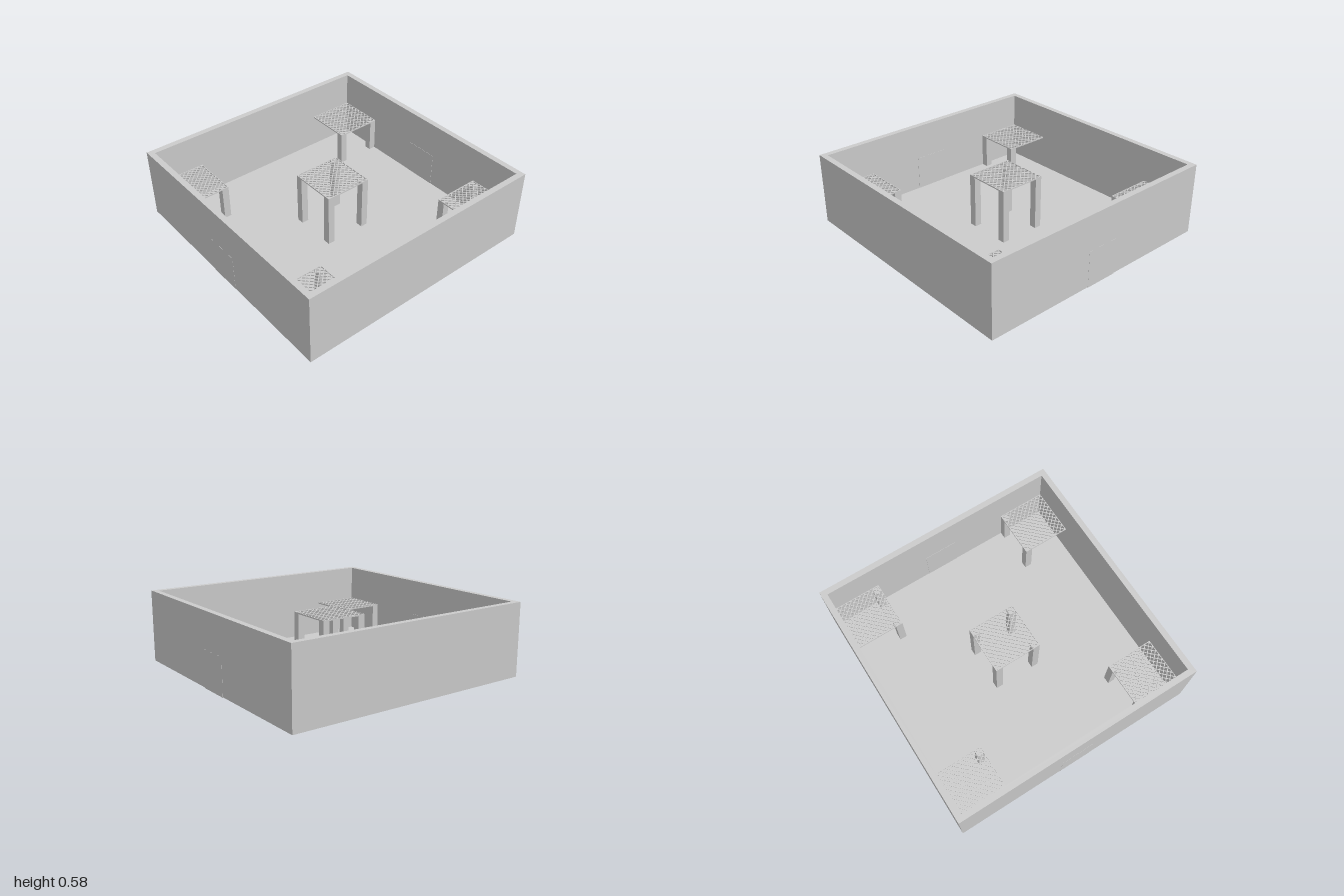
import * as THREE from 'three';
import { mergeGeometries } from 'three/addons/utils/BufferGeometryUtils.js';

const OUTER = 0.999, INNER = 0.953, BASE = 0.01, TOP = 0.58;
const SIDE = 0.382, LEG = 0.056, GRATE = 0.01;

const material = new THREE.MeshStandardMaterial({ color: 0xcccccc, flatShading: true });

function addMesh(parent, name, geometry) {
  const mesh = new THREE.Mesh(geometry, material);
  mesh.name = name;
  parent.add(mesh);
  return mesh;
}

// Box given by its size, its centre in x and z, and its lower y
function box(w, h, d, x, y, z) {
  return new THREE.BoxGeometry(w, h, d).translate(x, y + h / 2, z);
}

function square(PathType, r) {
  return new PathType([[-r, -r], [r, -r], [r, r], [-r, r]].map(([x, y]) => new THREE.Vector2(x, y)));
}

// Square grating: a thin rim filled with crossing diagonal strands
function gratingGeometry() {
  const rim = 0.005, strand = 0.006, step = 0.04, parts = [];
  const edge = (SIDE - rim) / 2;
  for (const s of [-1, 1]) {
    parts.push(box(SIDE, GRATE, rim, 0, 0, s * edge));
    parts.push(box(rim, GRATE, SIDE - 2 * rim, s * edge, 0, 0));
    for (let i = -9; i <= 9; i++) {
      const c = i * step;
      const length = (SIDE - Math.abs(c)) * Math.SQRT2 - strand;
      const bar = box(length, GRATE * 0.8, strand, 0, GRATE * 0.1, 0);
      bar.rotateY(s * Math.PI / 4).translate(c / 2, 0, s * c / 2);
      parts.push(bar);
    }
  }
  return mergeGeometries(parts);
}

// Platform with its grating surface at the given height, on legs at the listed corners
function platform(name, grating, x, z, height, foot, corners) {
  const group = new THREE.Group();
  group.name = name;
  group.position.set(x, 0, z);
  addMesh(group, 'grating', grating).position.y = height - GRATE;
  const r = (SIDE - LEG) / 2;
  for (const [sx, sz] of corners) {
    addMesh(group, 'leg', box(LEG, height - GRATE - foot, LEG, sx * r, foot, sz * r));
  }
  return group;
}

export function createModel() {
  const model = new THREE.Group();
  model.name = 'arena';

  // Four walls as one square ring
  const ring = square(THREE.Shape, OUTER);
  ring.holes.push(square(THREE.Path, INNER));
  const walls = new THREE.ExtrudeGeometry(ring, { depth: TOP - BASE, bevelEnabled: false });
  walls.rotateX(-Math.PI / 2).translate(0, BASE, 0);
  addMesh(model, 'walls', walls);

  // Thin floor
  addMesh(model, 'floor', box(2 * INNER, 0.01, 2 * INNER, 0, BASE, 0));

  // Doors, almost flush with the side walls
  const thickness = 1.001 - INNER + 0.001;
  for (const s of [-1, 1]) {
    addMesh(model, 'door', box(thickness, 0.29, 0.266, s * (1 - thickness / 2), 0.006, 0));
  }

  // Tall centre platform on four legs
  const grating = gratingGeometry();
  model.add(platform('centrePlatform', grating, 0, 0, 0.45, BASE + 0.002,
    [[-1, -1], [1, -1], [-1, 1], [1, 1]]));

  // Lower corner platforms, carried by the wall and by two legs on the inner edge
  const c = INNER - SIDE / 2;
  for (const sx of [-1, 1]) {
    for (const sz of [-1, 1]) {
      model.add(platform('cornerPlatform', grating, sx * c, sz * c, 0.3, 0,
        [[-1, -sz], [1, -sz]]));
    }
  }
  return model;
}
